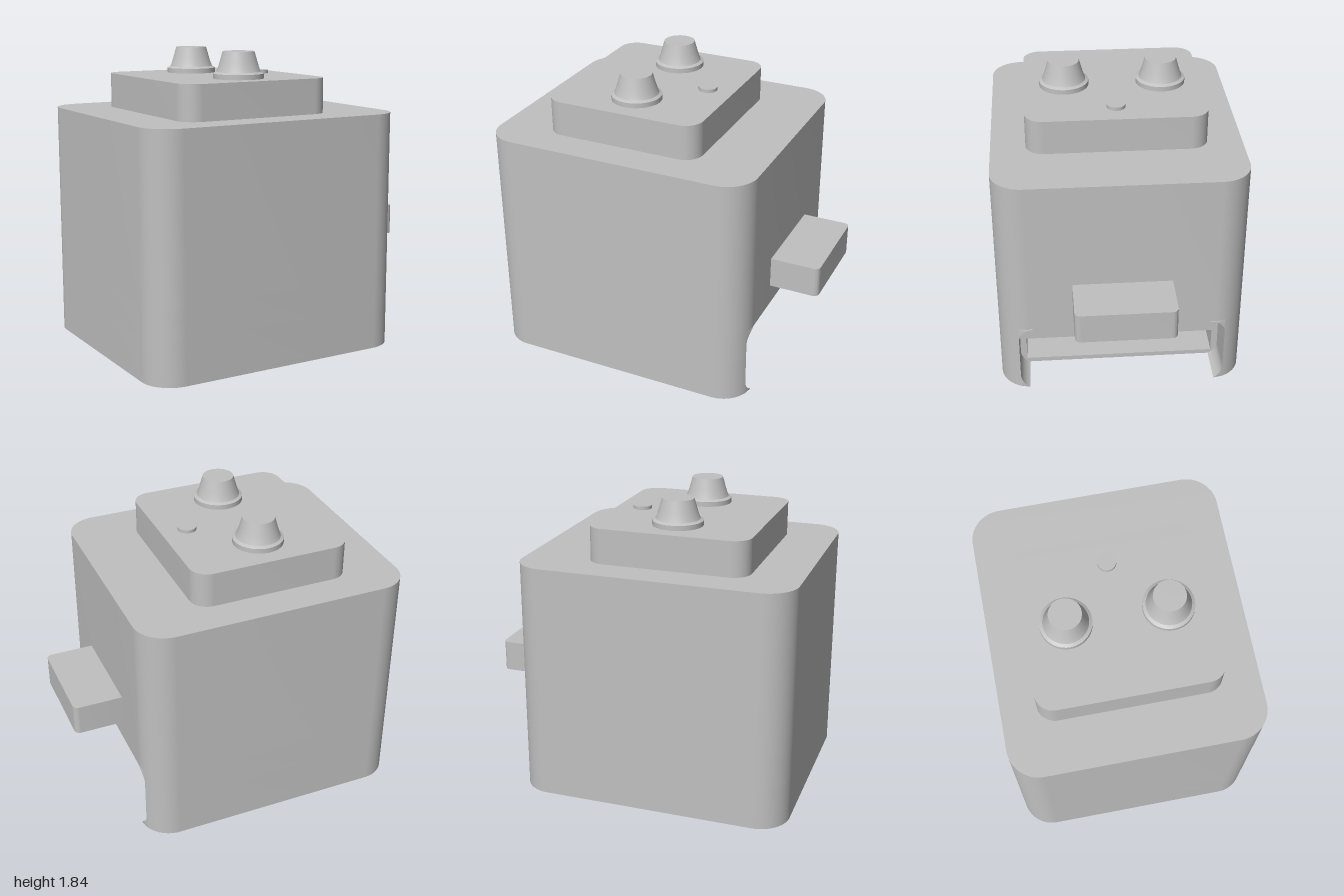
import * as THREE from 'three';
import { toCreasedNormals } from 'three/addons/utils/BufferGeometryUtils.js';

const grey = new THREE.MeshStandardMaterial({ color: 0xc0c0c0 });
grey.name = 'plain grey';

// Body plan: corner arc centres and radius, front face of the opening
const FACE = 0.695, R = 0.19, CX = FACE - R, CZ = 0.572;
const OPEN = 0.64, LIP = 0.45, IN = 0.6;

function mesh(name, geometry) {
  const m = new THREE.Mesh(toCreasedNormals(geometry, 0.55), grey);
  m.name = name;
  return m;
}

// Extrude a plan drawn in x and z upwards between two heights
function slab(name, shape, y0, y1) {
  const g = new THREE.ExtrudeGeometry(shape, { depth: y1 - y0, bevelEnabled: false, curveSegments: 12 });
  g.rotateX(-Math.PI / 2).translate(0, y0, 0);
  return mesh(name, g);
}

// Rounded rectangle with separate radii for the left and right ends
function plan(x0, x1, h, rl, rr) {
  const s = new THREE.Shape();
  s.moveTo(x0 + rl, -h);
  s.lineTo(x1 - rr, -h);
  s.absarc(x1 - rr, -h + rr, rr, -Math.PI / 2, 0);
  s.lineTo(x1, h - rr);
  s.absarc(x1 - rr, h - rr, rr, 0, Math.PI / 2);
  s.lineTo(x0 + rl, h);
  if (rl) s.absarc(x0 + rl, h - rl, rl, Math.PI / 2, Math.PI);
  s.lineTo(x0, -h + rl);
  if (rl) s.absarc(x0 + rl, -h + rl, rl, Math.PI, Math.PI * 1.5);
  return s;
}

// Body plan with the opening cut into its +x side
function notchedPlan(inner) {
  const s = new THREE.Shape();
  const t = Math.asin((OPEN - CZ) / R);
  const left = -1 + R;
  s.moveTo(CX + R * Math.cos(t), OPEN);
  s.absarc(CX, CZ, R, t, Math.PI / 2);
  s.absarc(left, CZ, R, Math.PI / 2, Math.PI);
  s.absarc(left, -CZ, R, Math.PI, Math.PI * 1.5);
  s.absarc(CX, -CZ, R, -Math.PI / 2, -t);
  s.lineTo(LIP, -OPEN);
  for (const [x, z] of inner) s.lineTo(x, z);
  s.lineTo(LIP, OPEN);
  return s;
}

const step = (x) => [[LIP, -IN], [x, -IN], [x, IN], [LIP, IN]];

// Fillet in one corner of the opening, trimmed to the curved body side
function fillet(side, top) {
  const s = new THREE.Shape();
  const cy = top ? 0.36 : 0.09, r = 0.1, end = top ? Math.PI / 2 : -Math.asin(0.9);
  s.moveTo(side * OPEN, top ? 0.46 : 0);
  for (let i = 0; i <= 10; i++) {
    const a = end * i / 10;
    s.lineTo(side * (0.54 + r * Math.cos(a)), cy + r * Math.sin(a));
  }
  const g = new THREE.ExtrudeGeometry(s, { depth: FACE - LIP, bevelEnabled: false });
  g.rotateY(Math.PI / 2).translate(LIP, 0, 0);
  const p = g.attributes.position;
  for (let i = 0; i < p.count; i++) {
    const d = Math.max(0, Math.abs(p.getZ(i)) - CZ);
    p.setX(i, Math.min(p.getX(i), CX + Math.sqrt(R * R - d * d)));
  }
  return mesh('openingFillet', g);
}

export function createModel() {
  const model = new THREE.Group();
  model.name = 'machine';

  // Body in layers: floor, chamber, overhanging block, solid upper part
  const body = new THREE.Group();
  body.name = 'body';
  body.add(
    slab('floorPlate', notchedPlan([]), 0, 0.03),
    slab('chamberWalls', notchedPlan(step(-0.3)), 0.03, 0.27),
    slab('overhangBlock', notchedPlan(step(0.547)), 0.27, 0.46),
    slab('upperBody', plan(-1, FACE, CZ + R, R, R), 0.46, 1.465)
  );
  for (const side of [-1, 1]) for (const top of [true, false]) body.add(fillet(side, top));
  model.add(body);

  // Side handle and raised top plate
  model.add(slab('sideHandle', plan(0.66, 1, 0.303, 0, 0.035), 0.593, 0.785));
  model.add(slab('topPlate', plan(-0.69, 0.3, 0.55, 0.11, 0.11), 1.465, 1.68));

  // Two tapered knobs
  const profile = [[0, 1.68], [0.153, 1.68], [0.153, 1.71], [0.134, 1.72], [0.126, 1.74],
    [0.115, 1.775], [0.096, 1.842], [0, 1.842]].map(([x, y]) => new THREE.Vector2(x, y));
  for (const z of [-0.3, 0.3]) {
    const knob = mesh('knob', new THREE.LatheGeometry(profile, 40));
    knob.position.set(-0.197, 0, z);
    model.add(knob);
  }

  // Small round button
  const button = mesh('button', new THREE.CylinderGeometry(0.057, 0.057, 0.022, 32));
  button.position.set(0.135, 1.69, 0);
  model.add(button);

  return model;
}
